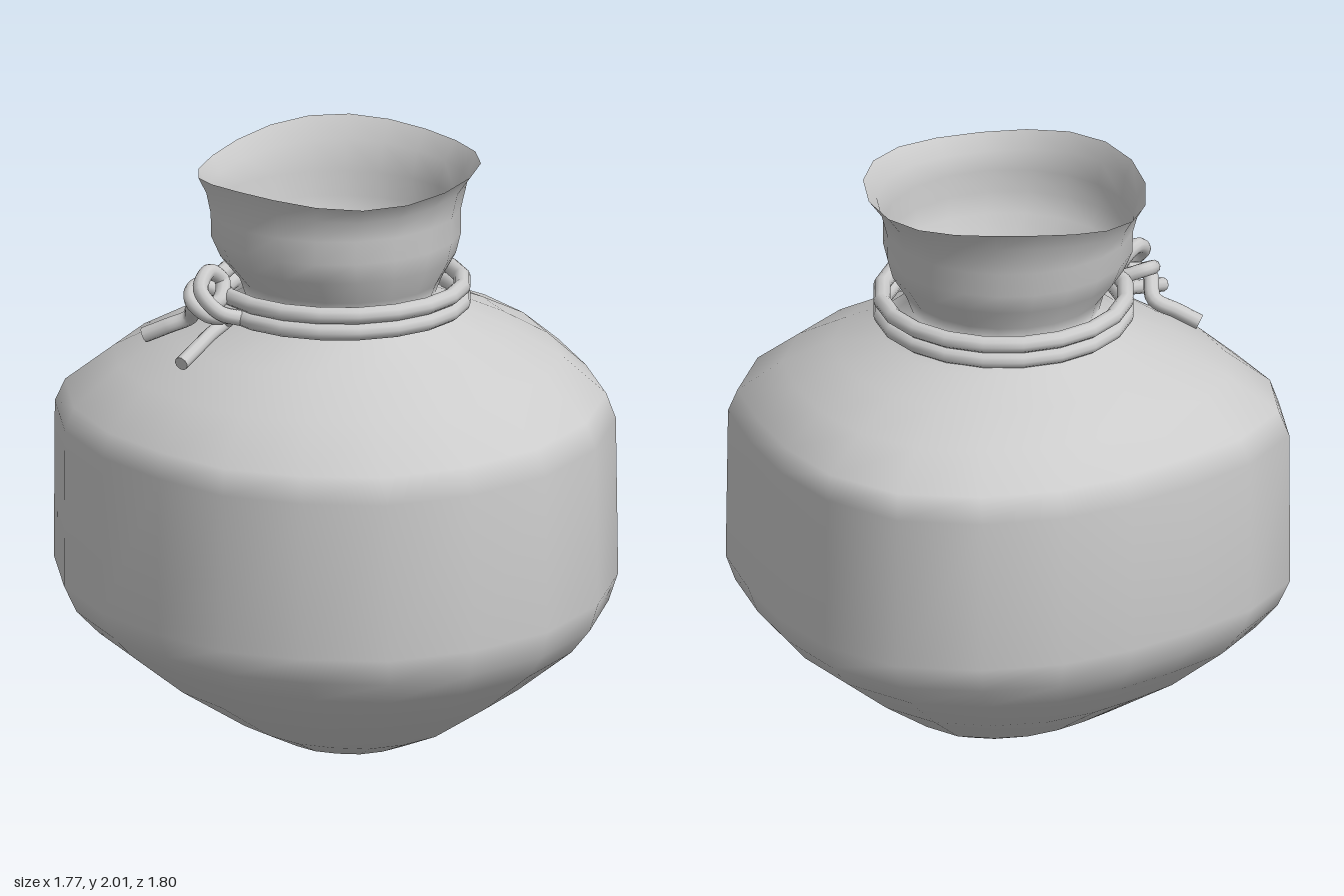
import * as THREE from 'three';

const { lerp, smoothstep } = THREE.MathUtils;
const material = new THREE.MeshStandardMaterial({ color: 0xcccccc, side: THREE.DoubleSide });

// Radii of the uneven plan outline, stepping from -x by way of -z
const OUTLINE = [
  0.89, 0.93, 0.964, 0.92, 0.876, 0.89, 0.934, 0.974, 1.005, 0.962,
  0.9, 0.873, 0.911, 0.91, 0.906, 0.892, 0.89, 0.865, 0.87, 0.86,
];

// Cross-sections from bottom to rim: y, xMin, xMax, zMin, zMax
const RINGS = [
  [0.05, -0.23, 0.24, -0.23, 0.27],
  [0.12, -0.365, 0.375, -0.39, 0.42],
  [0.27, -0.59, 0.59, -0.63, 0.645],
  [0.42, -0.77, 0.78, -0.81, 0.82],
  [0.5, -0.845, 0.85, -0.86, 0.875],
  [0.59, -0.885, 0.885, -0.89, 0.895],
  [1.12, -0.88, 0.88, -0.89, 0.885],
  [1.2, -0.855, 0.855, -0.84, 0.835],
  [1.32, -0.71, 0.73, -0.72, 0.67],
  [1.41, -0.545, 0.58, -0.585, 0.5],
  [1.48, -0.39, 0.43, -0.45, 0.36],
  [1.54, -0.31, 0.31, -0.345, 0.31],
  [1.6, -0.335, 0.33, -0.35, 0.335],
  [1.68, -0.4, 0.38, -0.4, 0.375],
  [1.75, -0.43, 0.4, -0.425, 0.39],
  [1.83, -0.43, 0.4, -0.43, 0.39],
  [1.91, -0.44, 0.425, -0.455, 0.4],
  [1.97, -0.465, 0.47, -0.495, 0.44],
];

function sackGeometry() {
  const n = OUTLINE.length;
  const positions = [];
  const indices = [];
  RINGS.forEach(([y, x0, x1, z0, z1]) => {
    // The belly follows the uneven outline and leans; the neck is round
    const uneven = 1 - smoothstep(y, 1.2, 1.54);
    const rim = smoothstep(y, 1.8, 1.97);
    OUTLINE.forEach((radius, i) => {
      const a = Math.PI * (1 + 2 * i / n) - 0.14 * Math.sin(Math.PI * i / n) ** 4;
      const stretch = lerp(1, radius / 0.89, uneven);
      const x = (x0 + x1) / 2 + (x1 - x0) / 2 * stretch * Math.cos(a);
      const z = (z0 + z1) / 2 + (z1 - z0) / 2 * stretch * Math.sin(a);
      const tilt = uneven * (0.035 * x - 0.055 * z);
      const wave = 0.017 * Math.cos(a) - 0.008 * Math.sin(a)
        - 0.0125 * Math.sin(2 * a) + 0.0165 * Math.cos(3 * a - 2.36);
      positions.push(x, y + tilt + rim * wave, z);
    });
  });
  for (let r = 0; r < RINGS.length - 1; r++) {
    for (let i = 0; i < n; i++) {
      const a = r * n + i;
      const b = r * n + (i + 1) % n;
      indices.push(a, a + n, b, b, a + n, b + n);
    }
  }
  // Closed bottom
  const pole = positions.length / 3;
  positions.push(0.05, 0, 0.05);
  for (let i = 0; i < n; i++) indices.push(pole, i, (i + 1) % n);
  const geometry = new THREE.BufferGeometry();
  geometry.setAttribute('position', new THREE.Float32BufferAttribute(positions, 3));
  geometry.setIndex(indices);
  geometry.computeVertexNormals();
  return geometry;
}

function addMesh(parent, name, geometry) {
  const mesh = new THREE.Mesh(geometry, material);
  mesh.name = name;
  parent.add(mesh);
  return mesh;
}

// Rope strand through points, with a flat cap on its free end
function addStrand(parent, name, points, radius) {
  const curve = new THREE.CatmullRomCurve3(points.map((p) => new THREE.Vector3(...p)));
  addMesh(parent, name, new THREE.TubeGeometry(curve, 56, radius, 10));
  const cap = addMesh(parent, name + 'End', new THREE.CircleGeometry(radius, 10));
  cap.position.copy(curve.getPoint(1));
  cap.quaternion.setFromUnitVectors(new THREE.Vector3(0, 0, 1), curve.getTangent(1));
}

export function createModel() {
  const model = new THREE.Group();
  model.name = 'tiedSack';
  addMesh(model, 'sack', sackGeometry());

  // Two turns of rope around the neck
  const rope = new THREE.Group();
  rope.name = 'rope';
  [1.52, 1.575].forEach((y, i) => {
    const turn = addMesh(rope, i ? 'upperRopeTurn' : 'lowerRopeTurn', new THREE.TorusGeometry(0.405, 0.028, 10, 20));
    turn.rotation.x = Math.PI / 2;
    turn.position.set(0, y, -0.012);
  });

  // Knot with an upright loop and two loose tails
  addStrand(rope, 'knotLoop', [
    [-0.4, 1.52, 0.06], [-0.48, 1.55, 0.05], [-0.52, 1.615, 0], [-0.465, 1.66, -0.05],
    [-0.41, 1.62, -0.06], [-0.45, 1.565, -0.01], [-0.52, 1.55, -0.04], [-0.5, 1.49, -0.12],
    [-0.56, 1.455, -0.167], [-0.62, 1.42, -0.215],
  ], 0.026);
  addStrand(rope, 'knotWrap', [
    [-0.4, 1.575, -0.08], [-0.48, 1.6, -0.11], [-0.53, 1.57, -0.05], [-0.5, 1.53, 0.02],
    [-0.43, 1.52, 0.03], [-0.43, 1.495, 0], [-0.5, 1.47, 0.03], [-0.57, 1.443, 0.07], [-0.65, 1.412, 0.115],
  ], 0.024);
  model.add(rope);
  return model;
}
